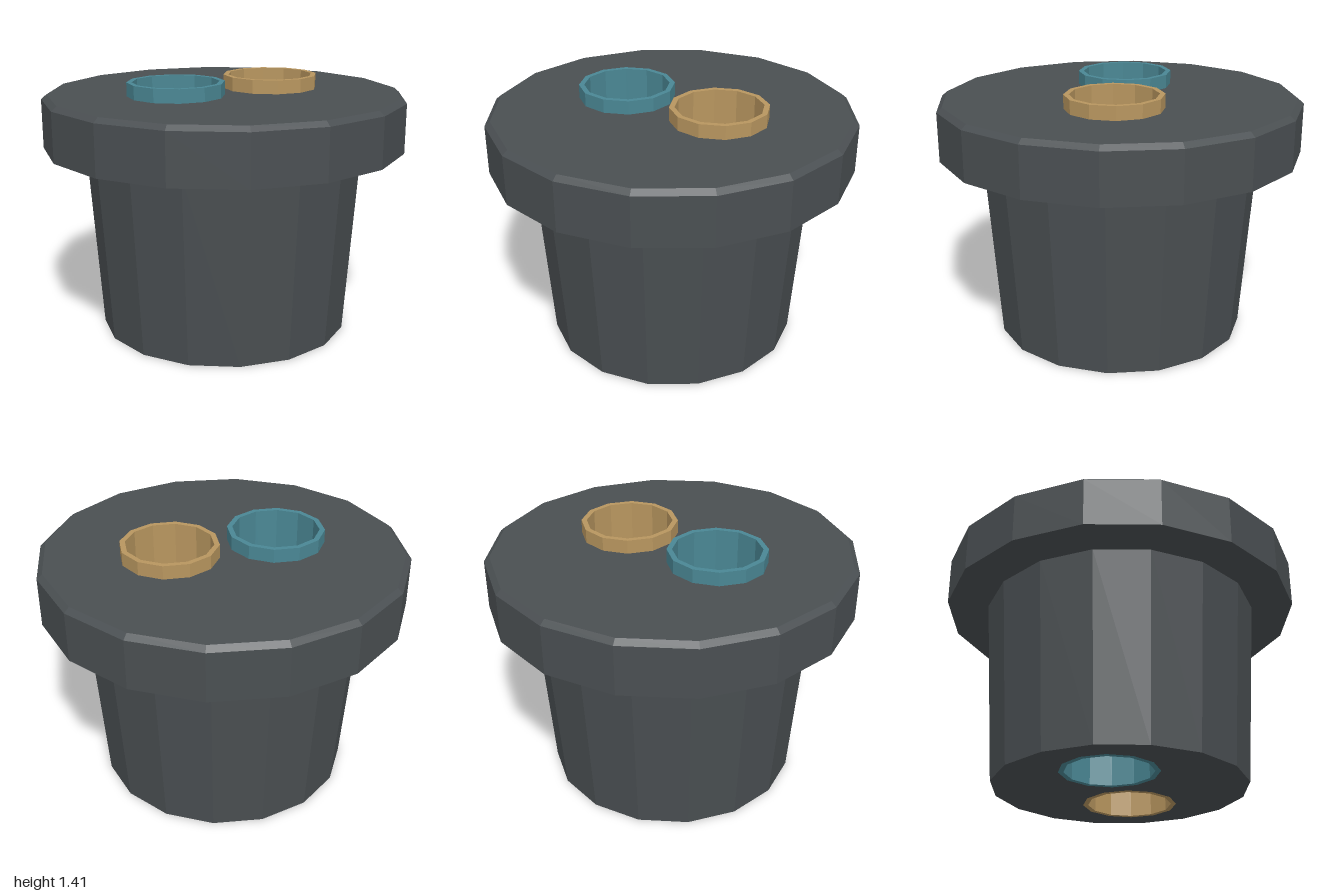
import * as THREE from 'three';

const BODY_SIDES = 16, TUBE_SIDES = 12;
const TUBE_TURN = THREE.MathUtils.degToRad(7.5);
const TUBE_X = 0.297, TUBE_OUTER = 0.265, TUBE_INNER = 0.236;
const TOP_Y = 1.335, TUBE_TOP_Y = 1.41;

// Flat-shaded mesh with crisp facets
function facetedMesh(name, geometry, color) {
  const flat = geometry.toNonIndexed();
  flat.computeVertexNormals();
  const mesh = new THREE.Mesh(flat, new THREE.MeshStandardMaterial({ color, flatShading: true }));
  mesh.name = name;
  return mesh;
}

function lathe(profile, sides, turn = 0) {
  return new THREE.LatheGeometry(profile.map(([r, y]) => new THREE.Vector2(r, y)), sides, turn);
}

// Regular polygon in the x/z plane; zSign suits the later tilt of the cap
function polygon(radius, sides, turn, cx, zSign) {
  return Array.from({ length: sides }, (_, i) => {
    const a = turn + (i / sides) * Math.PI * 2;
    return new THREE.Vector2(cx + radius * Math.sin(a), zSign * radius * Math.cos(a));
  });
}

// Flat end face with an opening for each tube
function cap(radius, y, up) {
  const zSign = up ? -1 : 1;
  const shape = new THREE.Shape(polygon(radius, BODY_SIDES, 0, 0, zSign));
  for (const x of [-TUBE_X, TUBE_X]) {
    shape.holes.push(new THREE.Path(polygon(TUBE_OUTER, TUBE_SIDES, TUBE_TURN, x, zSign)));
  }
  return new THREE.ShapeGeometry(shape).rotateX(zSign * Math.PI / 2).translate(0, y, 0);
}

export function createModel() {
  const model = new THREE.Group();
  model.name = 'twoHolePlug';
  const dark = 0x4a4f52;

  // Tapered plug with a wide chamfered flange
  const body = new THREE.Group();
  body.name = 'body';
  body.add(
    facetedMesh('plug', lathe([[0.7, 0], [0.77, 1.04]], BODY_SIDES), dark),
    facetedMesh('flange', lathe([[0.77, 1.04], [1, 1.04], [1, 1.31], [0.97, TOP_Y]], BODY_SIDES), dark),
    facetedMesh('topFace', cap(0.97, TOP_Y, true), dark),
    facetedMesh('bottomFace', cap(0.7, 0, false), dark),
  );
  model.add(body);

  // Open tubes running right through the plug
  const wall = [
    [TUBE_OUTER, 0], [TUBE_OUTER, TUBE_TOP_Y], [TUBE_INNER, TUBE_TOP_Y],
    [TUBE_INNER, 0], [TUBE_OUTER, 0],
  ];
  for (const [name, x, color] of [['rightTube', -TUBE_X, 0x4a8794], ['leftTube', TUBE_X, 0xb8965f]]) {
    const tube = facetedMesh(name, lathe(wall, TUBE_SIDES, TUBE_TURN), color);
    tube.position.x = x;
    model.add(tube);
  }
  return model;
}
